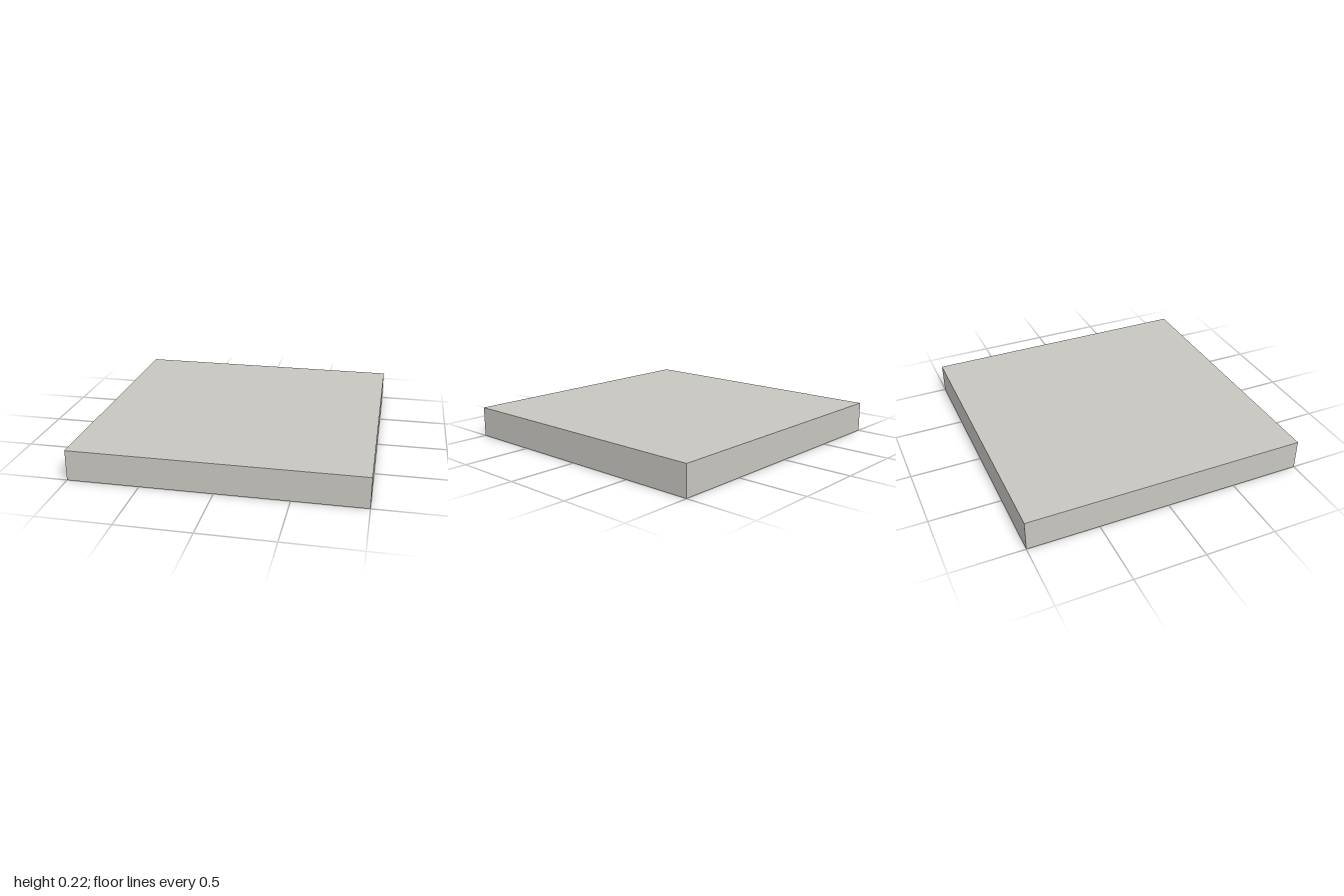
import * as THREE from 'three';

// Square ring swept from a profile of [half-width, height] points
function squareSweep(profile) {
  const pts = profile.map(([r, y]) => new THREE.Vector2(r * Math.SQRT2, y));
  const g = new THREE.LatheGeometry(pts, 4).rotateY(Math.PI / 4).toNonIndexed();
  g.computeVertexNormals();
  return g;
}

export function createModel() {
  const model = new THREE.Group();
  const paint = new THREE.MeshStandardMaterial({ color: 0xc8c6c0 });
  paint.name = 'warm grey paint';
  const dark = new THREE.MeshStandardMaterial({ color: 0x4a4a48 });
  dark.name = 'dark screw metal';

  const add = (name, geometry, material, x = 0, y = 0, z = 0) => {
    const m = new THREE.Mesh(geometry, material);
    m.name = name;
    m.position.set(x, y, z);
    model.add(m);
    return m;
  };

  // Hollow housing: ceiling, outer walls, sloped bottom frame and its upturned lip
  add('housing', squareSweep([
    [0, 0.205], [0.985, 0.205], [0.985, 0.02], [0.89, 0.065], [0.89, 0.115],
    [0.88, 0.115], [0.88, 0.055], [1, 0], [1, 0.215], [0, 0.215],
  ]), paint);

  // Nested louvres, rising outward from a common lower level
  for (let i = 0; i < 5; i++) {
    const t = 0.09 + i * 0.16;
    add('louvre' + (i + 1), squareSweep([
      [t, 0.06], [t + 0.14, 0.148], [t + 0.134, 0.154], [t - 0.006, 0.066], [t, 0.06],
    ]), paint);
  }

  // Crossed support bars under the ceiling
  add('supportBarX', new THREE.BoxGeometry(1.68, 0.04, 0.02), paint, 0, 0.186, 0);
  add('supportBarZ', new THREE.BoxGeometry(0.02, 0.04, 1.68), paint, 0, 0.186, 0);

  // Corner screws on the frame mitres
  for (const sx of [-1, 1]) for (const sz of [-1, 1]) {
    add('cornerScrew', new THREE.CylinderGeometry(0.009, 0.009, 0.016, 12), dark,
      sx * 0.945, 0.028, sz * 0.945);
  }
  return model;
}
